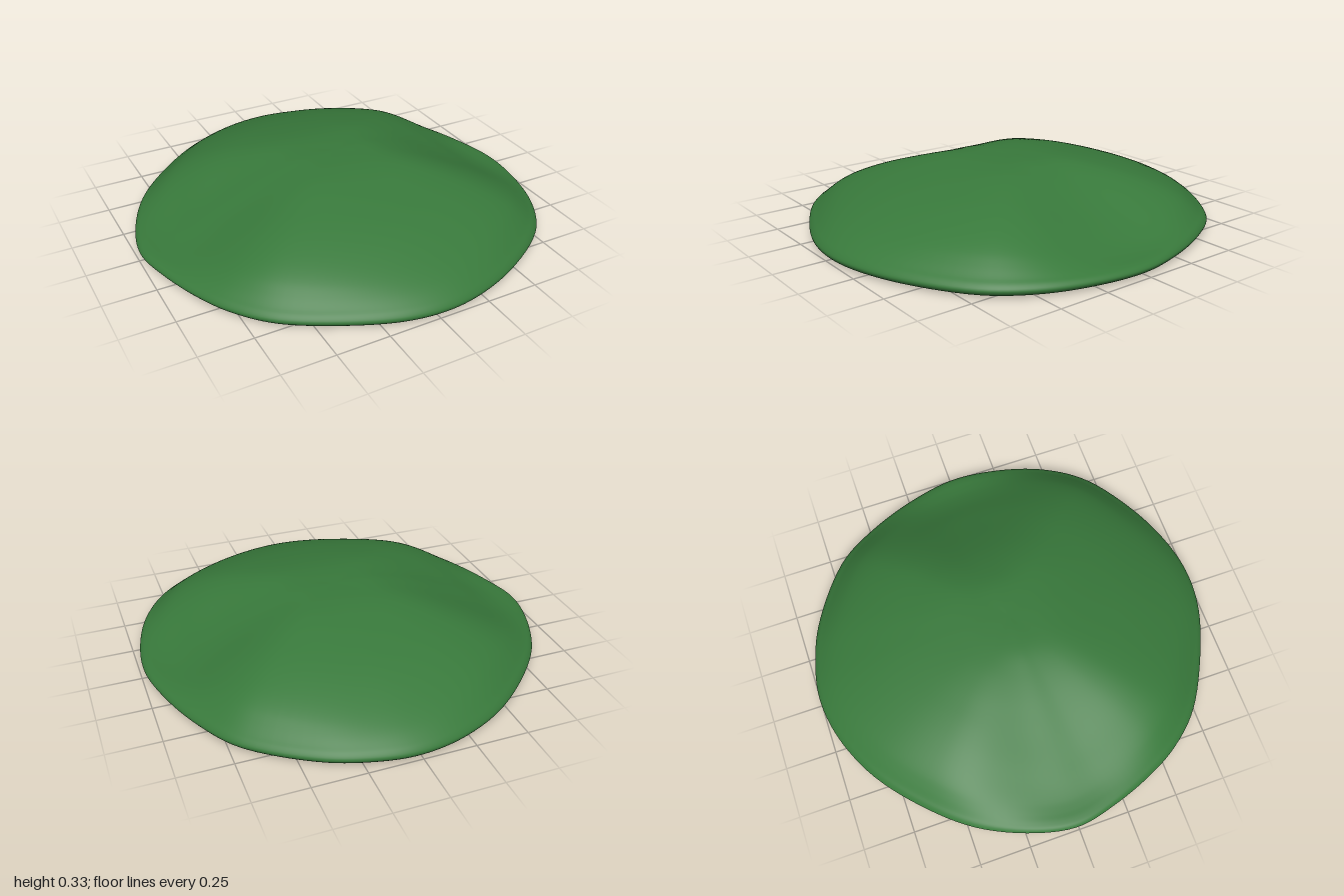
import * as THREE from 'three';
import { mergeVertices } from 'three/addons/utils/BufferGeometryUtils.js';

const CENTRE_X = 0.03;

// Rim outline seen from above (x, z), clockwise from the back
const OUTLINE = [
  [0.03, -1], [0.22, -0.97], [0.42, -0.895], [0.71, -0.685], [0.84, -0.48], [0.94, -0.22],
  [0.985, 0.02], [0.95, 0.3], [0.87, 0.52], [0.74, 0.7], [0.47, 0.88], [0.22, 0.975],
  [0.03, 1], [-0.16, 0.975], [-0.4, 0.88], [-0.65, 0.73], [-0.79, 0.57], [-0.875, 0.41],
  [-0.95, 0.2], [-0.99, 0], [-0.95, -0.21], [-0.83, -0.47], [-0.64, -0.69], [-0.42, -0.865],
  [-0.18, -0.97],
];

// Cross-section: fraction of radius, then height at the flared sides, the full corners, the front and back
const SECTION = [
  [0, 0.325, 0.325, 0.325], [0.1, 0.325, 0.324, 0.324], [0.2, 0.319, 0.32, 0.318],
  [0.3, 0.297, 0.311, 0.304], [0.4, 0.266, 0.295, 0.285], [0.5, 0.227, 0.274, 0.262],
  [0.6, 0.184, 0.25, 0.235], [0.7, 0.141, 0.22, 0.202], [0.8, 0.096, 0.182, 0.163],
  [0.87, 0.073, 0.146, 0.132], [0.92, 0.064, 0.11, 0.106], [0.96, 0.059, 0.077, 0.08],
  [0.987, 0.051, 0.056, 0.058], [1, 0.034, 0.035, 0.036], [0.988, 0.015, 0.015, 0.015],
  [0.955, 0.004, 0.004, 0.004], [0.88, 0, 0, 0], [0.5, 0, 0, 0], [0, 0, 0, 0],
];

function moundGeometry(around = 144, along = 72) {
  const outline = new THREE.CatmullRomCurve3(
    OUTLINE.map(([x, z]) => new THREE.Vector3(x, 0, z)), true);
  const positions = [], index = [];
  for (let j = 0; j < around; j++) {
    const rim = outline.getPoint(j / around);
    const dx = rim.x - CENTRE_X;
    // Full at the diagonals, easing into the flared sides and the rounded front and back
    const angle = Math.atan2(Math.abs(rim.z), Math.abs(dx));
    const corner = Math.sin(2 * angle) ** 2;
    const section = new THREE.CatmullRomCurve3(SECTION.map(([s, side, full, end]) =>
      new THREE.Vector3(s, THREE.MathUtils.lerp(angle < Math.PI / 4 ? side : end, full, corner), 0)));
    for (let i = 0; i <= along; i++) {
      const p = section.getPoint(i / along);
      const s = i === 0 || i === along ? 0 : p.x;
      positions.push(CENTRE_X + dx * s, Math.max(0, p.y), rim.z * s);
    }
  }
  const row = along + 1;
  for (let j = 0; j < around; j++) {
    const next = (j + 1) % around;
    for (let i = 0; i < along; i++) {
      const a = j * row + i, b = next * row + i;
      if (i > 0) index.push(a, b, a + 1);
      if (i < along - 1) index.push(b, b + 1, a + 1);
    }
  }
  const geometry = new THREE.BufferGeometry();
  geometry.setAttribute('position', new THREE.Float32BufferAttribute(positions, 3));
  geometry.setIndex(index);
  const merged = mergeVertices(geometry, 1e-5); // joins the poles
  merged.computeVertexNormals();
  return merged;
}

export function createModel() {
  const group = new THREE.Group();
  group.name = 'grassyMound';
  const mound = new THREE.Mesh(moundGeometry(),
    new THREE.MeshStandardMaterial({ color: 0x38793b }));
  mound.name = 'mound';
  group.add(mound);
  return group;
}
